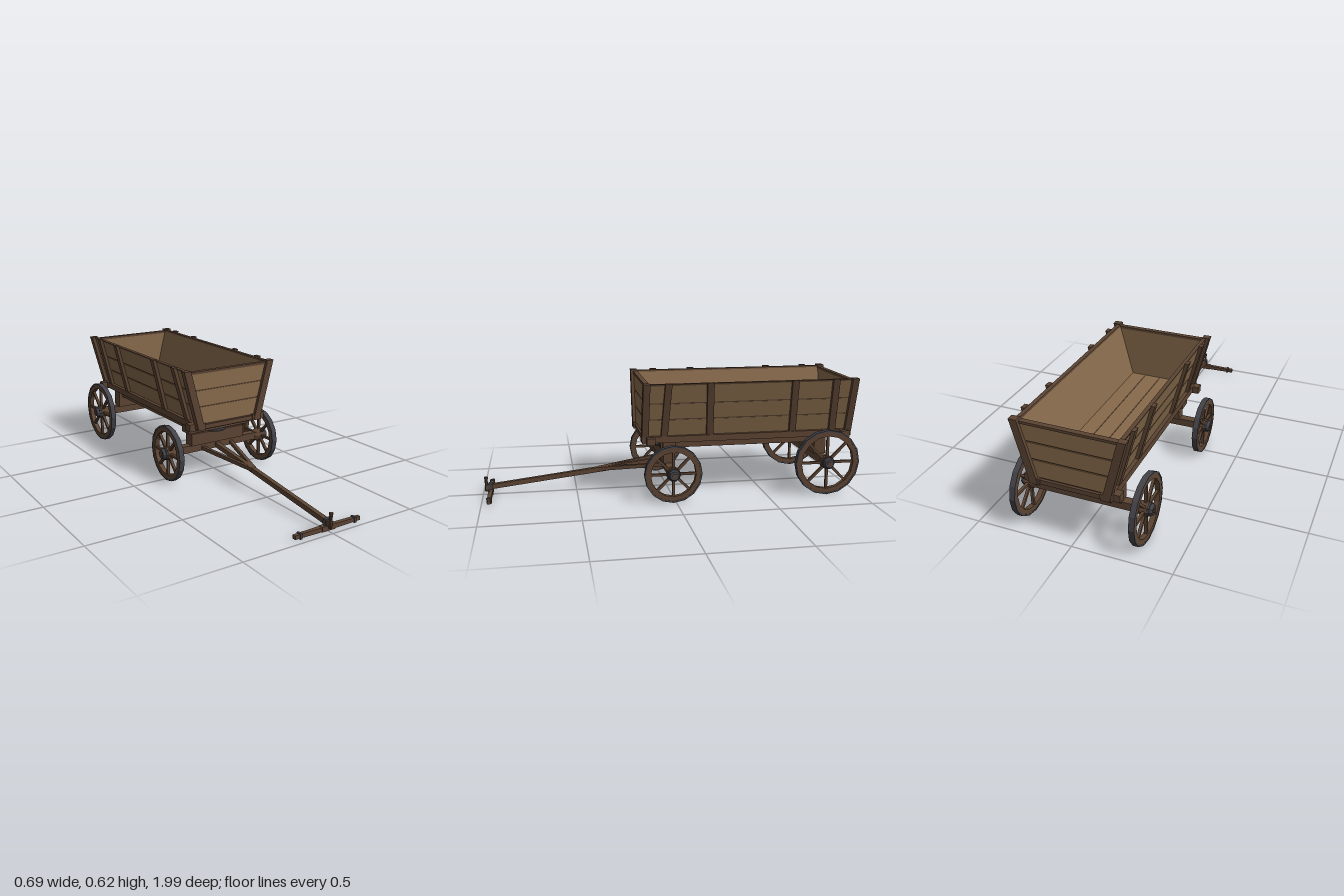
import * as THREE from 'three';

const mat = (name, color) => Object.assign(new THREE.MeshStandardMaterial({ color, flatShading: true }), { name });

export function createModel() {
  const plank = mat('plankWood', 0x876a4b);
  const frame = mat('frameWood', 0x5c4433);
  const iron = mat('iron', 0x424248);
  const root = new THREE.Group();
  root.name = 'wagon';

  const add = (name, geo, material, parent = root) => {
    const m = new THREE.Mesh(geo, material);
    m.name = name;
    parent.add(m);
    return m;
  };

  // Box given by its limits on each axis
  const box = (name, [x0, x1], [y0, y1], [z0, z1], material = frame, parent = root) => {
    const g = new THREE.BoxGeometry(x1 - x0, y1 - y0, z1 - z0);
    g.translate((x0 + x1) / 2, (y0 + y1) / 2, (z0 + z1) / 2);
    return add(name, g, material, parent);
  };

  // Square beam between two points
  const beam = (name, a, b, w, h, material = frame) => {
    const A = new THREE.Vector3(...a), B = new THREE.Vector3(...b);
    const m = add(name, new THREE.BoxGeometry(w, h, A.distanceTo(B)), material);
    m.position.copy(A).add(B).multiplyScalar(0.5);
    m.lookAt(B);
    return m;
  };

  // The walls flare outwards above the floor
  const FLOOR = 0.33, SLOPE = 0.26, INNER = 0.165, FRONT = 0.165, BACK = -0.99;
  const halfWidth = y => INNER + SLOPE * (y - FLOOR);

  // Box leaning with a side wall; x is measured outwards from its inner face
  const leaning = (name, side, xs, ys, zs, material = frame, lean = 0) => {
    const x = xs.map(v => side * (INNER + v)).sort((a, b) => a - b);
    const m = box(name, x, ys, zs, material);
    const p = m.geometry.attributes.position;
    for (let i = 0; i < p.count; i++) {
      const rise = p.getY(i) - FLOOR;
      p.setX(i, p.getX(i) + side * SLOPE * rise);
      p.setZ(i, p.getZ(i) + lean * rise);
    }
    m.geometry.computeVertexNormals();
  };

  // Board of an end wall, cut to the flare
  const endBoard = (name, [y0, y1], [z0, z1], material) => {
    const a = halfWidth(y0) + 0.004, b = halfWidth(y1) + 0.004;
    const s = new THREE.Shape([[-a, y0], [a, y0], [b, y1], [-b, y1]].map(p => new THREE.Vector2(...p)));
    const g = new THREE.ExtrudeGeometry(s, { depth: z1 - z0, bevelEnabled: false });
    g.translate(0, 0, z0);
    add(name, g, material);
  };

  const rows = [[0.33, 0.419], [0.425, 0.508], [0.514, 0.599]];
  const gaps = [[0.419, 0.425], [0.508, 0.514]];

  // Side walls with stakes and corner posts
  for (const s of [-1, 1]) {
    const zs = [BACK + 0.02, FRONT - 0.02];
    leaning('sideLining', s, [0, 0.006], [FLOOR, 0.607], zs, plank);
    rows.forEach(r => leaning('sideBoard', s, [0.006, 0.02], [r[0], r[1] > 0.59 ? 0.607 : r[1]], zs, plank));
    gaps.forEach(r => leaning('sideSeam', s, [0.006, 0.016], r, zs));
    leaning('sideRail', s, [0, 0.021], [0.607, 0.616], zs);
    for (const [z, lean] of [[0.045, -0.04], [-0.2, 0.05], [-0.655, 0.05], [-0.88, 0.05]])
      leaning('stake', s, [0.018, 0.038], [0.315, 0.62], [z - 0.018, z + 0.018], frame, lean);
    for (const z of [FRONT - 0.036, BACK])
      leaning('cornerPost', s, [0, 0.04], [0.3, 0.62], [z, z + 0.036]);
    box('sill', s < 0 ? [-0.205, -0.15] : [0.15, 0.205], [0.296, 0.33], [BACK + 0.003, FRONT - 0.003]);
    box('underRail', s < 0 ? [-0.17, -0.13] : [0.13, 0.17], [0.26, 0.297], [-0.86, 0.06]);
  }

  // End walls
  for (const [z, d] of [[FRONT - 0.037, 1], [BACK + 0.037, -1]]) {
    const span = (a, b) => [z + d * a, z + d * b].sort((p, q) => p - q);
    endBoard('endLining', [FLOOR, 0.6], span(0, 0.006), plank);
    rows.forEach(r => endBoard('endBoard', r, span(0.006, 0.02), plank));
    gaps.forEach(r => endBoard('endSeam', r, span(0.006, 0.016), frame));
    endBoard('endRail', [0.598, 0.611], span(-0.002, 0.024), frame);
  }

  // Floor boards over a dark deck
  box('deck', [-0.16, 0.16], [0.298, 0.322], [BACK + 0.01, FRONT - 0.01]);
  for (let i = 0; i < 4; i++) {
    const x = -0.174 + i * 0.087;
    box('floorBoard', [x + 0.0015, x + 0.0855], [0.32, 0.332], [BACK + 0.03, FRONT - 0.03], plank);
  }

  // Cross beams projecting beyond the sills
  for (const z of [0.12, -0.945])
    box('crossBeam', [-0.238, 0.238], [0.291, 0.329], [z - 0.022, z + 0.022]);

  // Wheel turned around its own axle; y of the profile points outwards
  const turned = (name, pts, sides, material, parent) =>
    add(name, new THREE.LatheGeometry(pts.map(p => new THREE.Vector2(...p)), sides), material, parent);
  const ring = (r, R, h) => [[R, -h], [R, h], [r, h], [r, -h], [R, -h]];
  const wheel = (name, R, side, z) => {
    const w = new THREE.Group();
    w.name = name;
    turned('tire', ring(R - 0.008, R, 0.0145), 16, iron, w);
    turned('rim', ring(R - 0.033, R - 0.007, 0.013), 16, frame, w);
    turned('hub', [[0, -0.044], [0.026, -0.044], [0.037, -0.018], [0.037, 0.016], [0, 0.016]], 10, frame, w);
    turned('hubBand', ring(0.025, 0.034, 0.005), 10, iron, w).position.y = 0.02;
    turned('hubCap', [[0, 0.015], [0.03, 0.015], [0.03, 0.028], [0.024, 0.041], [0, 0.041]], 10, iron, w);
    turned('axleEnd', [[0.012, 0.04], [0.012, 0.044], [0, 0.044]], 8, frame, w);
    for (let i = 0; i < 8; i++) {
      const g = new THREE.BoxGeometry(0.013, 0.014, R - 0.05);
      g.translate(0, 0, 0.025 + (R - 0.05) / 2);
      add('spoke', g, frame, w).rotation.y = i * Math.PI / 4;
    }
    w.rotation.z = -side * Math.PI / 2;
    w.position.set(side * 0.3, R, z);
    root.add(w);
  };
  const ZF = 0.015, ZR = -0.82;
  for (const s of [-1, 1]) {
    wheel('frontWheel', 0.152, s, ZF);
    wheel('rearWheel', 0.177, s, ZR);
  }

  // Axles, bolsters and turning plate
  box('frontAxle', [-0.285, 0.285], [0.134, 0.174], [ZF - 0.022, ZF + 0.022]);
  box('rearAxle', [-0.285, 0.285], [0.156, 0.197], [ZR - 0.022, ZR + 0.022]);
  box('frontBolster', [-0.168, 0.168], [0.172, 0.238], [ZF - 0.03, ZF + 0.03]);
  add('turningPlate', new THREE.CylinderGeometry(0.06, 0.06, 0.008, 16), iron).position.set(0, 0.242, ZF);
  box('upperBolster', [-0.19, 0.19], [0.246, 0.297], [ZF - 0.035, ZF + 0.035]);
  box('rearBolster', [-0.19, 0.19], [0.195, 0.297], [ZR - 0.032, ZR + 0.032]);

  // Drawbar with its two braces
  beam('drawbar', [0, 0.155, 0.0], [0, 0.04, 0.985], 0.024, 0.026);
  for (const s of [-1, 1])
    beam('brace', [s * 0.105, 0.153, -0.01], [s * 0.006, 0.114, 0.38], 0.018, 0.02);

  // Tapered swing bar, bands, bracket and pin
  for (const s of [-1, 1]) {
    const half = add('swingBar', new THREE.CylinderGeometry(0.0135, 0.0165, 0.195, 4).rotateY(Math.PI / 4), frame);
    half.rotation.z = -s * Math.PI / 2;
    half.position.set(s * 0.0975, 0.017, 0.96);
    box('barBand', [s * 0.163 - 0.006, s * 0.163 + 0.006], [0.003, 0.031], [0.946, 0.974], iron);
    box('bracketSide', [s * 0.017 - 0.003, s * 0.017 + 0.003], [0.028, 0.062], [0.95, 0.97], iron);
  }
  box('bracketTop', [-0.02, 0.02], [0.057, 0.062], [0.95, 0.97], iron);
  box('barSeat', [-0.04, 0.04], [0.004, 0.03], [0.947, 0.973]);
  add('pin', new THREE.CylinderGeometry(0.008, 0.008, 0.075, 8), frame).position.set(0, 0.055, 0.982);
  add('pinHead', new THREE.CylinderGeometry(0.011, 0.009, 0.012, 8), frame).position.set(0, 0.09, 0.982);

  return root;
}
